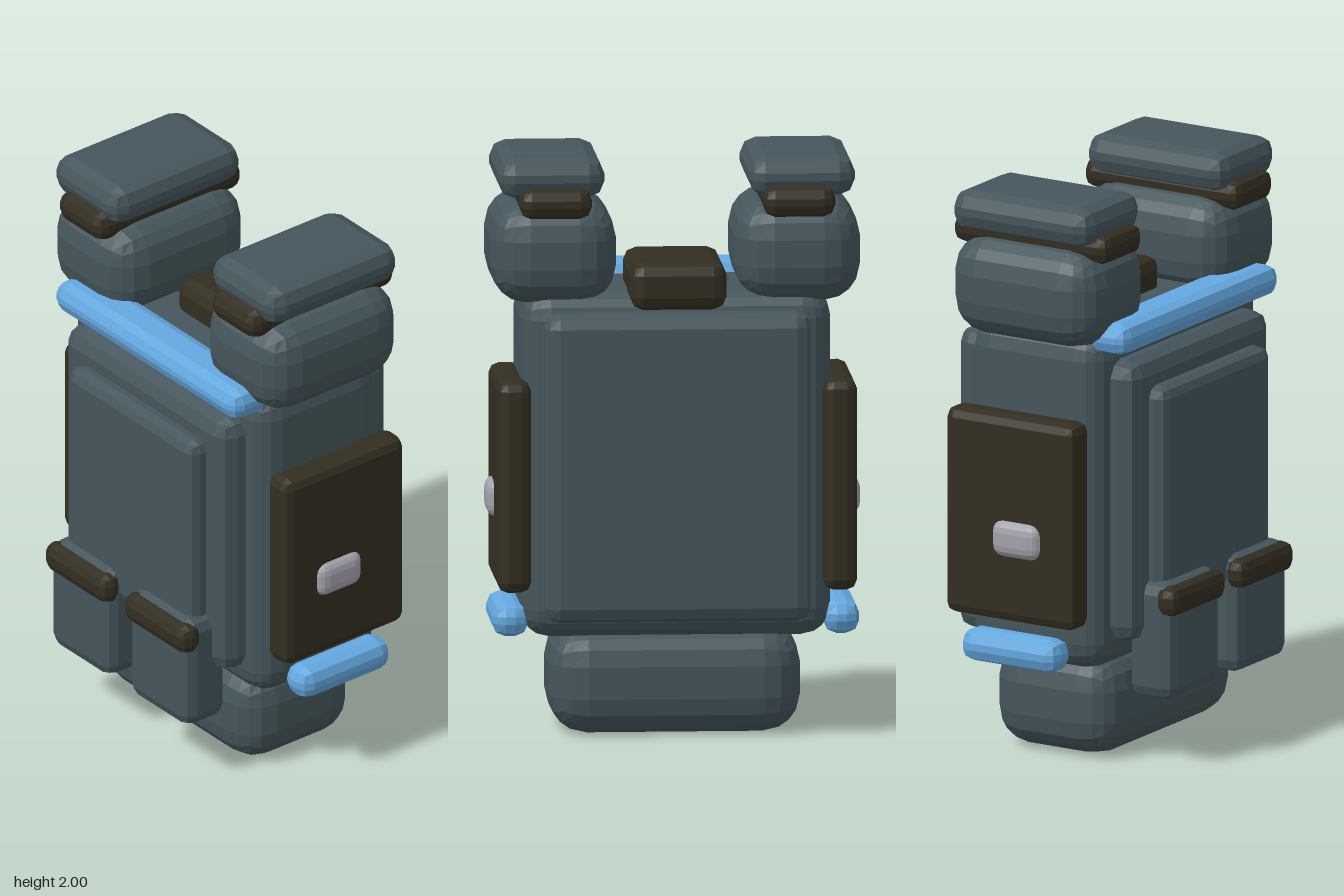
import * as THREE from 'three';
import { RoundedBoxGeometry } from 'three/addons/geometries/RoundedBoxGeometry.js';

function material(name, color) {
  const m = new THREE.MeshStandardMaterial({ color });
  m.name = name;
  return m;
}

export function createModel() {
  const slate = material('slate fabric', 0x45565c);
  const leather = material('dark leather', 0x332e21);
  const blue = material('blue tubing', 0x64a8e0);
  const silver = material('silver metal', 0xa2a2ac);

  const model = new THREE.Group();
  model.name = 'backpack';

  // Faceted rounded box given by its [min, max] extents on each axis
  function block(name, mat, x, y, z, radius, segments = 1) {
    const size = [x, y, z].map(([a, b]) => b - a);
    const geometry = new RoundedBoxGeometry(...size, segments, radius);
    geometry.computeVertexNormals(); // unindexed, so each facet is flat
    const mesh = new THREE.Mesh(geometry, mat);
    mesh.name = name;
    mesh.position.set(...[x, y, z].map(([a, b]) => (a + b) / 2));
    model.add(mesh);
  }

  // The same block on the left (+x) and the right (-x)
  function pair(name, mat, [x0, x1], ...rest) {
    block(name + 'Left', mat, [x0, x1], ...rest);
    block(name + 'Right', mat, [-x1, -x0], ...rest);
  }

  // Main bag with stepped front panels and back plate
  block('body', slate, [-0.53, 0.53], [0.34, 1.54], [-0.33, 0.21], 0.1, 2);
  block('frontPanel', slate, [-0.445, 0.445], [0.44, 1.435], [0.1, 0.3], 0.06);
  block('frontPocket', slate, [-0.345, 0.345], [0.54, 1.335], [0.2, 0.362], 0.04);
  block('backPlate', slate, [-0.455, 0.455], [0.405, 1.47], [-0.415, -0.25], 0.05);

  // Bedroll under the bag
  block('bottomRoll', slate, [-0.43, 0.43], [0, 0.37], [-0.31, 0.185], 0.13, 2);

  // Top pouch and front bar
  block('topPouch', leather, [-0.165, 0.165], [1.485, 1.65], [-0.43, 0.03], 0.045);
  block('frontBar', blue, [-0.5, 0.5], [1.47, 1.58], [0.13, 0.3], 0.045);

  // Small front pouches with flaps
  pair('pouch', slate, [0.05, 0.378], [0.24, 0.655], [0.23, 0.41], 0.045);
  pair('pouchFlap', leather, [0.045, 0.388], [0.54, 0.645], [0.345, 0.43], 0.035);

  // Side panels with clasps, and the rails below them
  pair('sidePanel', leather, [0.5, 0.615], [0.505, 1.235], [-0.36, 0.165], 0.035);
  pair('clasp', silver, [0.54, 0.64], [0.735, 0.87], [-0.165, 0.035], 0.045, 2);
  pair('sideRail', blue, [0.505, 0.628], [0.345, 0.46], [-0.295, 0.097], 0.045);

  // Shoulder bundles: roll, strap and top pad
  pair('shoulderRoll', slate, [0.203, 0.632], [1.49, 1.845], [-0.36, 0.235], 0.13, 2);
  pair('shoulderStrap', leather, [0.293, 0.54], [1.795, 1.9], [-0.38, 0.25], 0.04);
  pair('shoulderPad', slate, [0.247, 0.61], [1.862, 2], [-0.345, 0.217], 0.055);

  return model;
}
